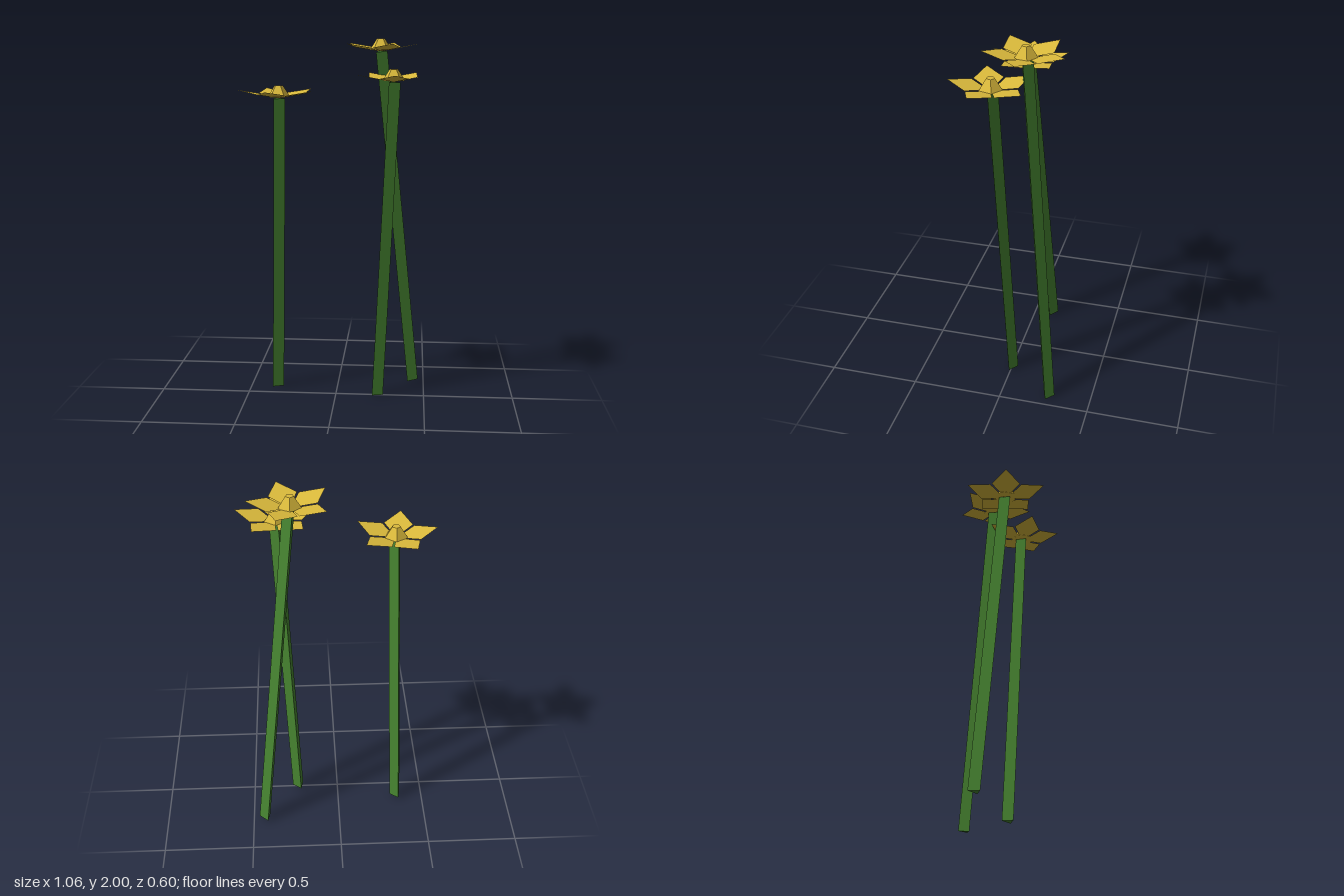
import * as THREE from 'three';

const rad = THREE.MathUtils.degToRad;

// Three-sided stem from foot to head
function makeStem(foot, head, material) {
  const axis = head.clone().sub(foot);
  const geometry = new THREE.CylinderGeometry(0.0375, 0.0375, axis.length(), 3, 1, false, rad(-41));
  const stem = new THREE.Mesh(geometry, material);
  stem.name = 'stem';
  stem.position.copy(foot).add(head).multiplyScalar(0.5);
  stem.quaternion.setFromUnitVectors(new THREE.Vector3(0, 1, 0), axis.normalize());
  return stem;
}

// Flat kite-shaped petal pointing along +x, tilted upwards
function makePetalGeometry() {
  const slope = 0.2, x = 0.115, z = 0.077;
  const shape = new THREE.Shape([
    new THREE.Vector2(0.004, 0),
    new THREE.Vector2(x, -z),
    new THREE.Vector2(0.222, 0),
    new THREE.Vector2(x, z),
  ]);
  const geometry = new THREE.ShapeGeometry(shape).rotateX(-Math.PI / 2);
  const p = geometry.attributes.position;
  for (let i = 0; i < p.count; i++) p.setY(i, p.getX(i) * slope);
  geometry.computeVertexNormals();
  return geometry;
}

export function createModel() {
  const model = new THREE.Group();
  model.name = 'flowers';

  const green = new THREE.MeshStandardMaterial({ color: 0x478531, flatShading: true });
  green.name = 'stemGreen';
  const yellow = new THREE.MeshStandardMaterial({ color: 0xdcbb3c, flatShading: true, side: THREE.DoubleSide });
  yellow.name = 'petalYellow';

  const petalGeometry = makePetalGeometry();
  const cupGeometry = new THREE.CylinderGeometry(0.023, 0.064, 0.06, 5, 1, false, Math.PI);

  // Foot, head and turn of the petals for each flower
  const flowers = [
    { name: 'shortFlower', foot: [-0.348, 0.006, -0.107], head: [-0.307, 1.685, 0.038], turn: 29.5 },
    { name: 'middleFlower', foot: [0.232, 0.006, 0], head: [0.313, 1.775, 0.077], turn: 15 },
    { name: 'tallFlower', foot: [0.431, 0.006, -0.263], head: [0.238, 1.932, -0.083], turn: 0 },
  ];

  for (const f of flowers) {
    const flower = new THREE.Group();
    flower.name = f.name;
    const head = new THREE.Vector3(...f.head);
    flower.add(makeStem(new THREE.Vector3(...f.foot), head, green));

    const blossom = new THREE.Group();
    blossom.name = 'blossom';
    blossom.position.copy(head);

    // Ring of five petals
    for (let i = 0; i < 5; i++) {
      const petal = new THREE.Mesh(petalGeometry, yellow);
      petal.name = 'petal';
      petal.rotation.y = -rad(f.turn + i * 72);
      blossom.add(petal);
    }

    // Tapered five-sided cup in the middle
    const cup = new THREE.Mesh(cupGeometry, yellow);
    cup.name = 'cup';
    cup.position.y = 0.038;
    blossom.add(cup);

    flower.add(blossom);
    model.add(flower);
  }
  return model;
}
